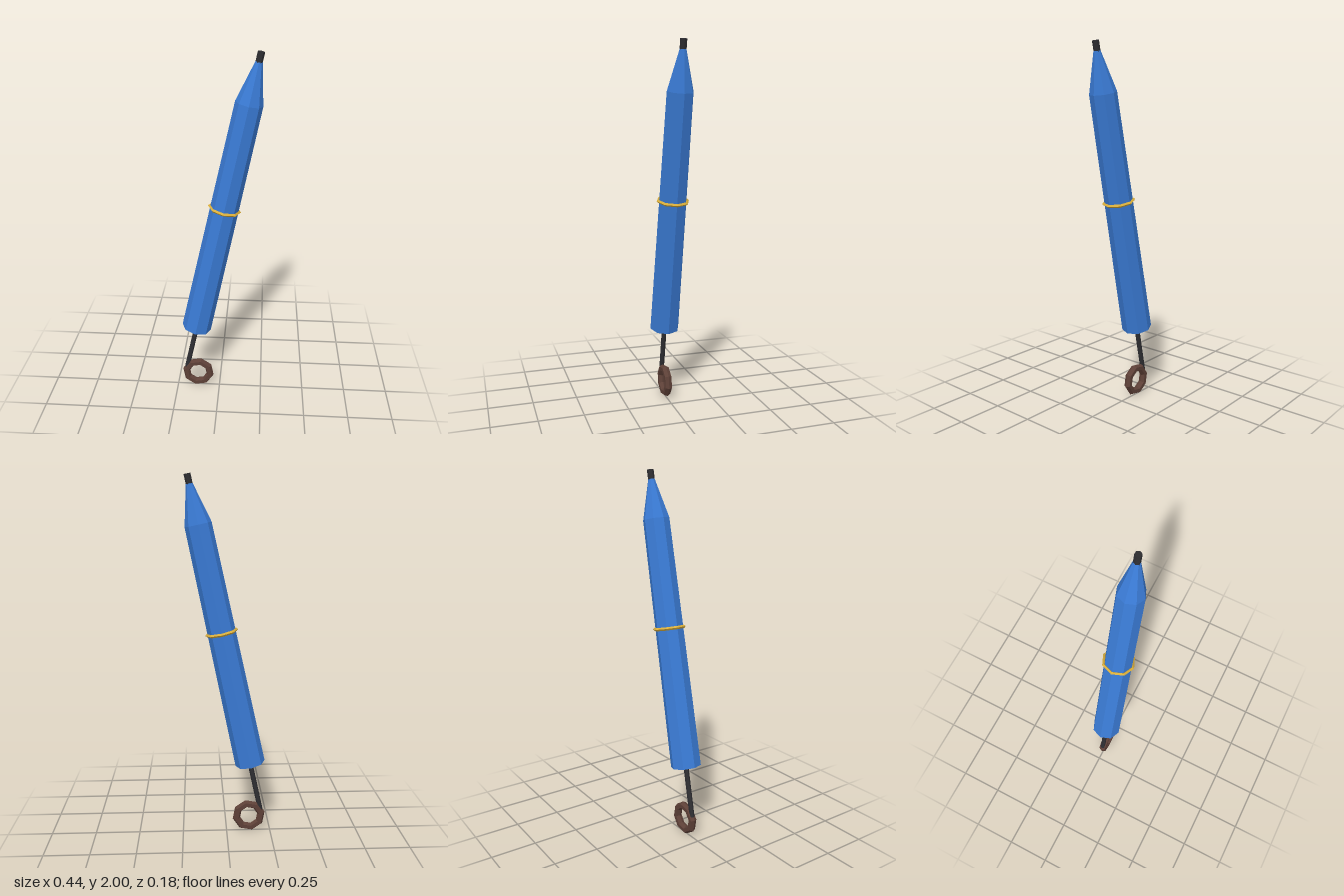
import * as THREE from 'three';

export function createModel() {
  const paint = (name, color) => {
    const m = new THREE.MeshStandardMaterial({ color, flatShading: true });
    m.name = name;
    return m;
  };
  const blue = paint('canopy blue', 0x3a7bd5);
  const gold = paint('strap gold', 0xd9ae3c);
  const black = paint('metal black', 0x2e2e32);
  const brown = paint('handle brown', 0x5d4037);

  // Everything is built along an upright axis, then leaned to the side.
  const umbrella = new THREE.Group();
  umbrella.name = 'closedUmbrella';
  const add = (name, geometry, material, x, y) => {
    const mesh = new THREE.Mesh(geometry, material);
    mesh.name = name;
    mesh.position.set(x, y, 0);
    umbrella.add(mesh);
    return mesh;
  };
  const rod = (name, rTop, rBottom, y0, y1, sides, material, open = false, turn = 0) =>
    add(name, new THREE.CylinderGeometry(rTop, rBottom, y1 - y0, sides, 1, open).rotateY(turn),
      material, 0, (y0 + y1) / 2);

  // Folded canopy: long eight-sided sleeve, then a taper to the tip
  rod('canopySleeve', 0.072, 0.084, 0, 1.355, 8, blue);
  rod('canopyTaper', 0.018, 0.072, 1.355, 1.565, 8, blue);

  // Shaft below the canopy and ferrule on top
  rod('shaft', 0.014, 0.014, -0.312, 0.02, 6, black, false, Math.PI / 6);
  rod('ferrule', 0.018, 0.018, 1.55, 1.616, 6, black, false, Math.PI / 6);

  // Strap around the middle
  add('strap', new THREE.TorusGeometry(0.082, 0.009, 4, 8).rotateX(Math.PI / 2), gold, 0, 0.77);

  // Ring handle, joined to the shaft end at its side
  add('ringHandle', new THREE.TorusGeometry(0.072, 0.022, 6, 8), brown, 0.072, -0.312);

  umbrella.rotation.z = -THREE.MathUtils.degToRad(12);
  umbrella.position.set(-0.133, 0.416, 0);

  const model = new THREE.Group();
  model.name = 'umbrella';
  model.add(umbrella);
  return model;
}
